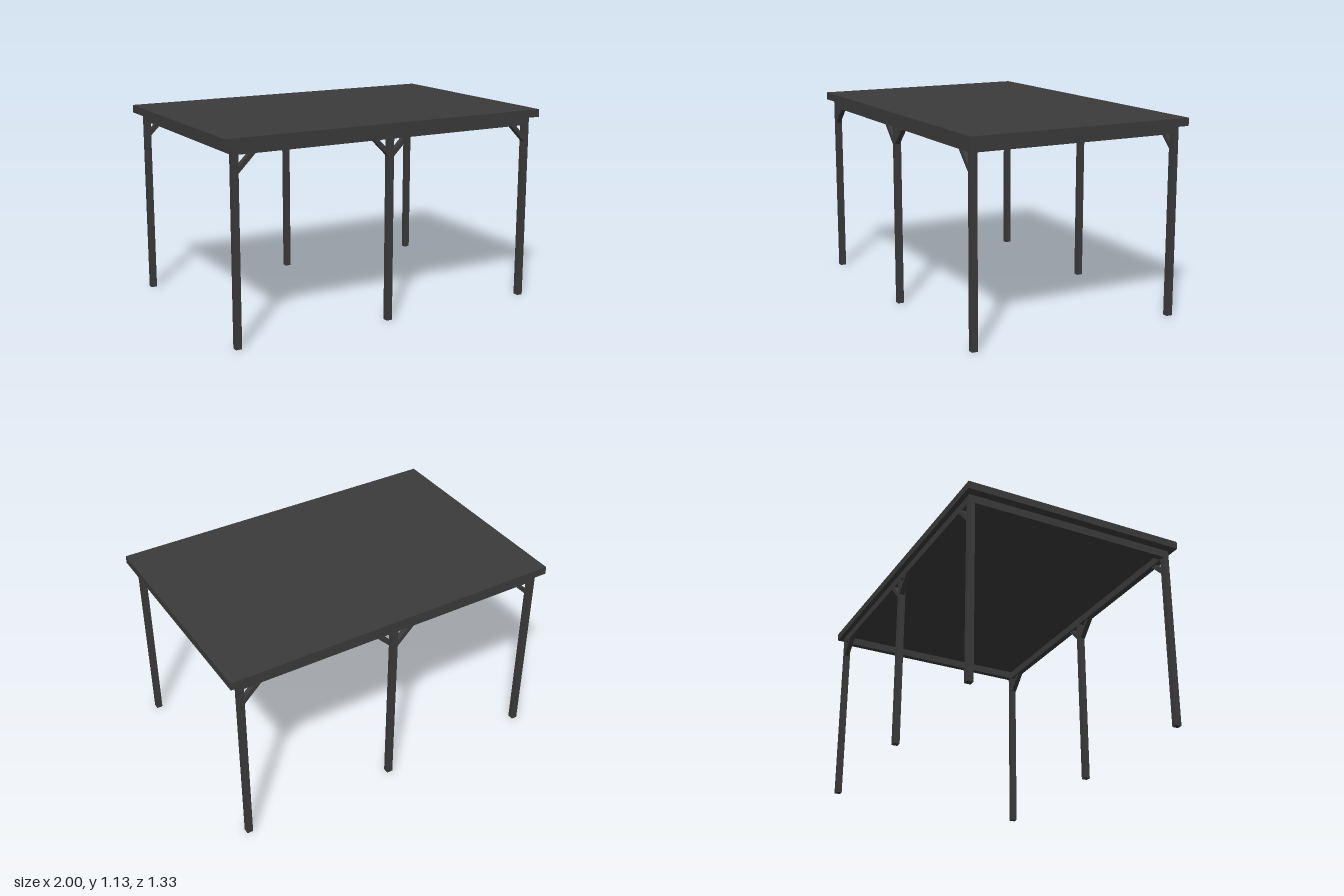
import * as THREE from 'three';

export function createModel() {
  const model = new THREE.Group();
  const charcoal = new THREE.MeshStandardMaterial({ color: 0x3b3b3b });
  charcoal.name = 'charcoal';

  const POST = 0.035, POST_X = 0.933, POST_Z = 0.62;
  const BEAM_BOTTOM = 1.04, ROOF_BOTTOM = 1.086, ROOF_TOP = 1.131;

  function add(name, geometry, x, y, z) {
    const mesh = new THREE.Mesh(geometry, charcoal);
    mesh.name = name;
    mesh.position.set(x, y, z);
    model.add(mesh);
    return mesh;
  }

  // Flat roof slab
  add('roof', new THREE.BoxGeometry(2, ROOF_TOP - ROOF_BOTTOM, 1.332), 0, (ROOF_TOP + ROOF_BOTTOM) / 2, 0);

  // Beam frame under the roof
  const beamH = ROOF_BOTTOM - BEAM_BOTTOM, beamY = (ROOF_BOTTOM + BEAM_BOTTOM) / 2;
  for (const s of [-1, 1]) {
    add('longBeam', new THREE.BoxGeometry(2 * POST_X + POST, beamH, POST), 0, beamY, s * POST_Z);
    add('crossBeam', new THREE.BoxGeometry(POST, beamH, 2 * POST_Z - POST), s * POST_X, beamY, 0);
  }

  // Diagonal knee brace, running at 45 degrees from post face to beam underside
  function braceGeometry(dir) {
    const depth = 0.03, reach = 0.096, t = 0.036;
    const points = [[0, -reach], [reach, 0], [reach - t, 0], [0, t - reach]];
    const shape = new THREE.Shape(points.map(([x, y]) => new THREE.Vector2(dir * x, y)));
    return new THREE.ExtrudeGeometry(shape, { depth, bevelEnabled: false }).translate(0, 0, -depth / 2);
  }

  // Three posts per long side, braced towards the neighbouring posts
  for (const z of [-POST_Z, POST_Z]) {
    for (const x of [-POST_X, 0, POST_X]) {
      add('post', new THREE.BoxGeometry(POST, BEAM_BOTTOM, POST), x, BEAM_BOTTOM / 2, z);
      for (const dir of [-1, 1]) {
        if (x * dir > 0) continue;
        add('kneeBrace', braceGeometry(dir), x + dir * POST / 2, BEAM_BOTTOM, z + Math.sign(z) * 0.005);
      }
    }
  }
  return model;
}
